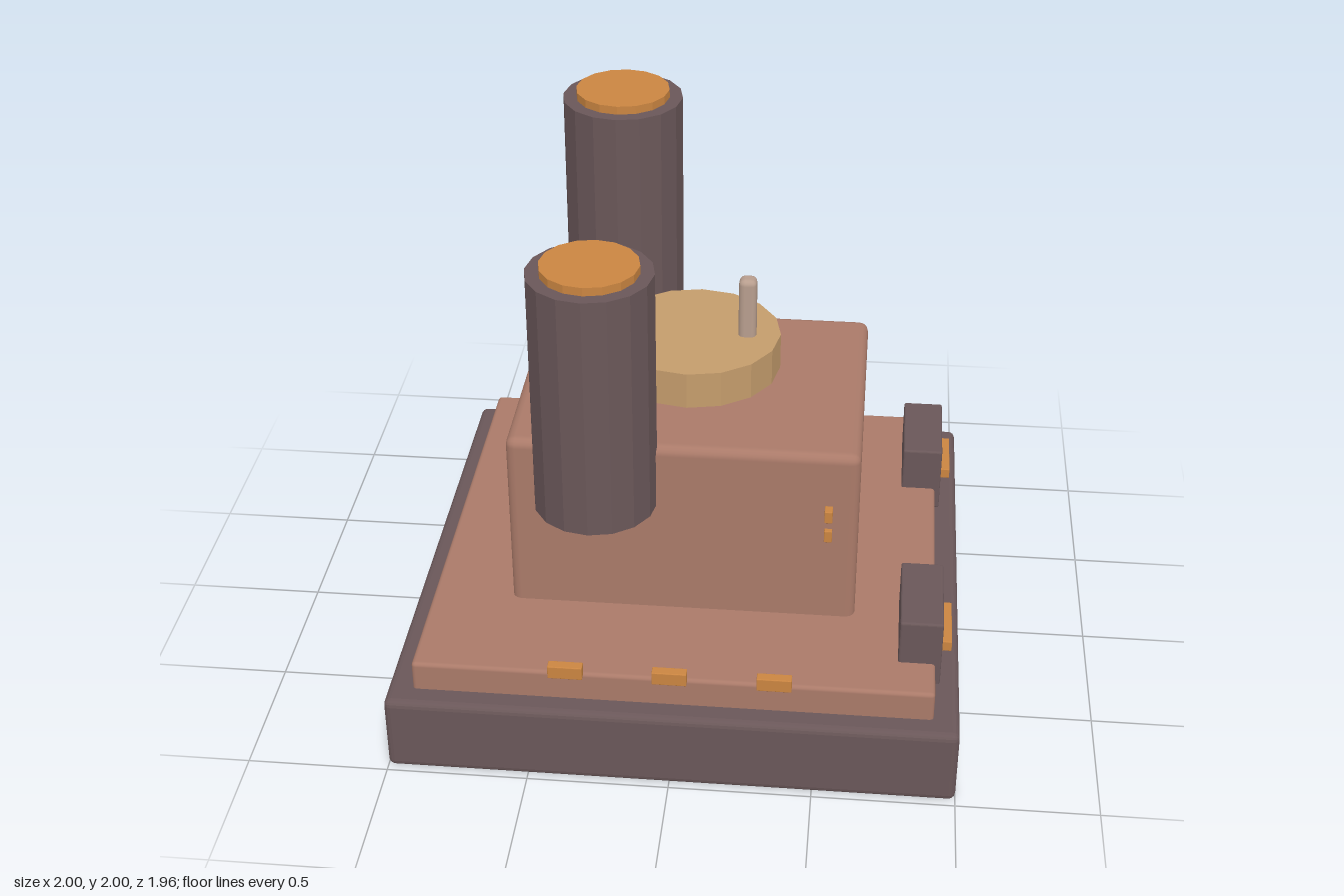
import * as THREE from 'three';
import { RoundedBoxGeometry } from 'three/addons/geometries/RoundedBoxGeometry.js';

const material = (name, color, flatShading = false) => {
  const m = new THREE.MeshStandardMaterial({ color, flatShading });
  m.name = name;
  return m;
};

export function createModel() {
  const model = new THREE.Group();
  model.name = 'building';
  const charcoal = material('charcoal', 0x6a5759, true);
  const clay = material('clay', 0xaa7a69);
  const amber = material('amber', 0xca8541, true);
  const sand = material('sand', 0xc49c6c, true);
  const putty = material('putty', 0xb89e8e);

  const add = (name, geometry, mat, x, y, z) => {
    const mesh = new THREE.Mesh(geometry, mat);
    mesh.name = name;
    mesh.position.set(x, y, z);
    model.add(mesh);
    return mesh;
  };
  // Box standing on y0, with edges rounded by r
  const box = (name, mat, w, y0, y1, d, x, z, r) =>
    add(name, new RoundedBoxGeometry(w, y1 - y0, d, 2, r), mat, x, (y0 + y1) / 2, z);
  // Sixteen-sided drum from y0 to y1
  const drum = (name, mat, radius, y0, y1, x, z) =>
    add(name, new THREE.CylinderGeometry(radius, radius, y1 - y0, 16), mat, x, (y0 + y1) / 2, z);

  // Stepped base and main block
  box('base', charcoal, 2, 0, 0.29, 1.96, 0, 0, 0.025);
  box('plinth', clay, 1.82, 0.25, 0.4, 1.79, 0, 0, 0.015);
  box('mainBlock', clay, 1.24, 0.36, 1.08, 0.97, 0, 0, 0.035);

  // Roof disc with its two rods
  drum('roofDisc', sand, 0.31, 1.14, 1.275, 0, 0);
  for (const side of [-1, 1]) box('rod', putty, 0.064, 1.24, 1.5, 0.064, side * 0.19, 0, 0.022);

  // Chimneys: the rear one is taller
  for (const [z, bottom, top] of [[0.47, 0.84, 1.75], [-0.47, 0.62, 1.97]]) {
    drum('chimney', charcoal, 0.218, bottom, top, -0.305, z);
    drum('chimneyCap', amber, 0.17, top - 0.02, top + 0.03, -0.305, z);
  }

  for (const side of [-1, 1]) {
    // Cabinets on the left edge, each with a light bar
    box('cabinet', charcoal, 0.15, 0.31, 0.57, 0.36, 0.855, side * 0.547, 0.008);
    box('cabinetLight', amber, 0.055, 0.41, 0.45, 0.23, 0.938, side * 0.547, 0.003);
    // Small lamps on the front and back walls
    box('upperLamp', amber, 0.028, 0.84, 0.887, 0.04, 0.515, side * 0.52, 0.003);
    box('lowerLamp', amber, 0.028, 0.733, 0.78, 0.04, 0.515, side * 0.483, 0.003);
  }

  // Row of lights along the front edge
  for (const x of [-0.36, 0, 0.36]) box('frontLight', amber, 0.12, 0.415, 0.465, 0.036, x, 0.93, 0.003);

  return model;
}
